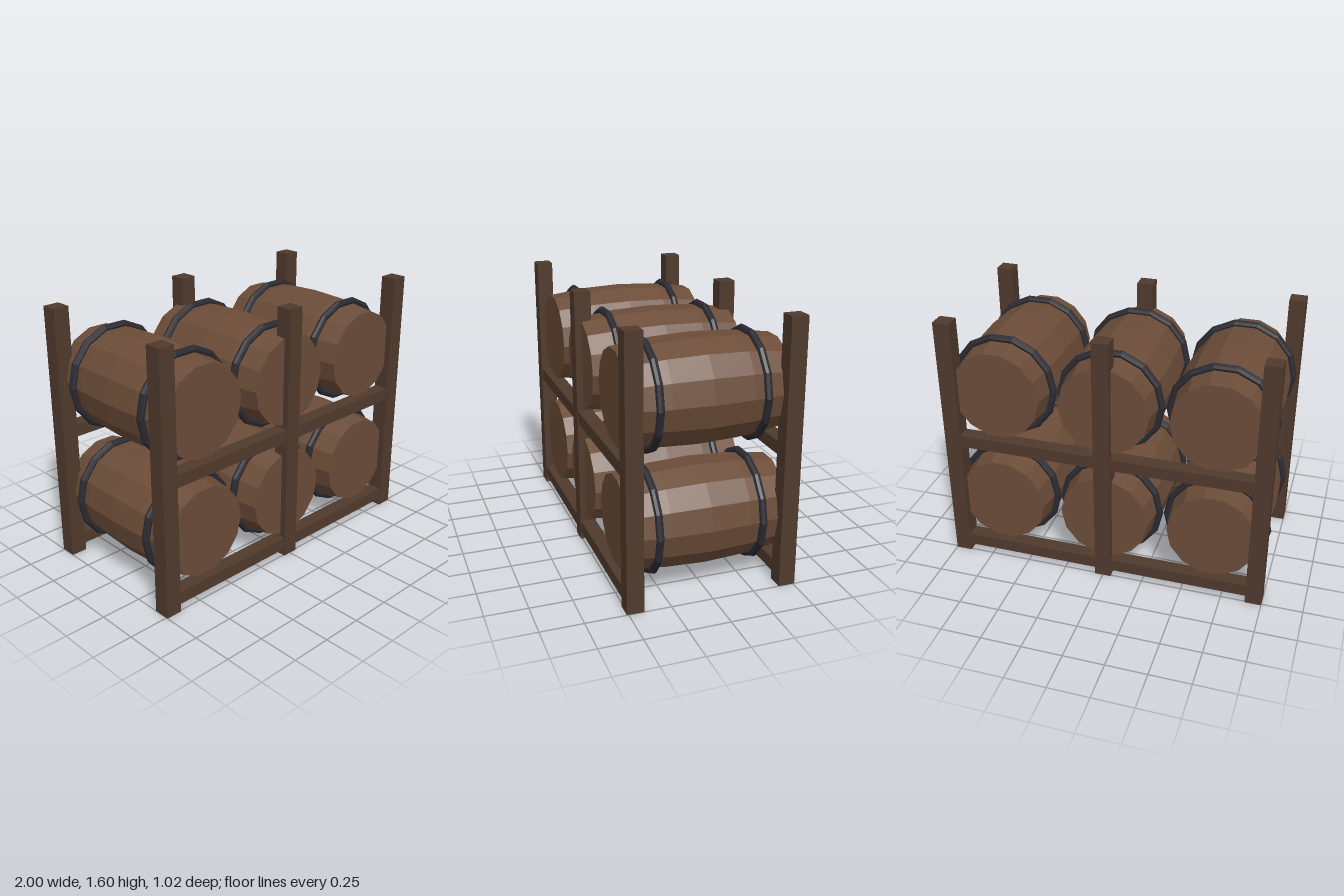
import * as THREE from 'three';

const SIDES = 14;
const mat = (color) => new THREE.MeshStandardMaterial({ color, flatShading: true });

export function createModel() {
  const model = new THREE.Group();
  model.name = 'barrelRack';
  const staveWood = mat(0x6b4c38), frameWood = mat(0x503a2d), iron = mat(0x2a2a31);

  const add = (parent, name, geometry, material, x, y, z) => {
    const mesh = new THREE.Mesh(geometry, material);
    mesh.name = name;
    mesh.position.set(x, y, z);
    parent.add(mesh);
  };

  // Barrel body with flat heads, lying along z
  const profile = [[0, -0.47], [0.275, -0.47], [0.305, -0.235], [0.315, 0],
    [0.305, 0.235], [0.275, 0.47], [0, 0.47]].map(([r, h]) => new THREE.Vector2(r, h));
  const barrelGeo = new THREE.LatheGeometry(profile, SIDES, Math.PI / 2).rotateX(Math.PI / 2);

  // Faceted iron hoop
  const hoopGeo = new THREE.TorusGeometry(0.309, 0.023, 8, SIDES);

  // Two rows of three barrels
  for (const y of [0.41, 1.147]) {
    for (const x of [-0.667, 0, 0.667]) {
      const barrel = new THREE.Group();
      barrel.name = 'barrel';
      barrel.position.set(x, y, 0);
      add(barrel, 'barrelBody', barrelGeo, staveWood, 0, 0, 0);
      for (const z of [-0.308, 0.308]) add(barrel, 'hoop', hoopGeo, iron, 0, 0, z);
      model.add(barrel);
    }
  }

  // Posts and rails, front and back
  const postGeo = new THREE.BoxGeometry(0.1, 1.595, 0.1);
  const railGeo = new THREE.BoxGeometry(1.9, 0.077, 0.09);
  for (const z of [-0.46, 0.46]) {
    for (const x of [-0.95, 0, 0.95]) add(model, 'post', postGeo, frameWood, x, 0.7975, z);
    for (const y of [0.085, 0.821]) add(model, 'rail', railGeo, frameWood, 0, y, z);
  }
  return model;
}
